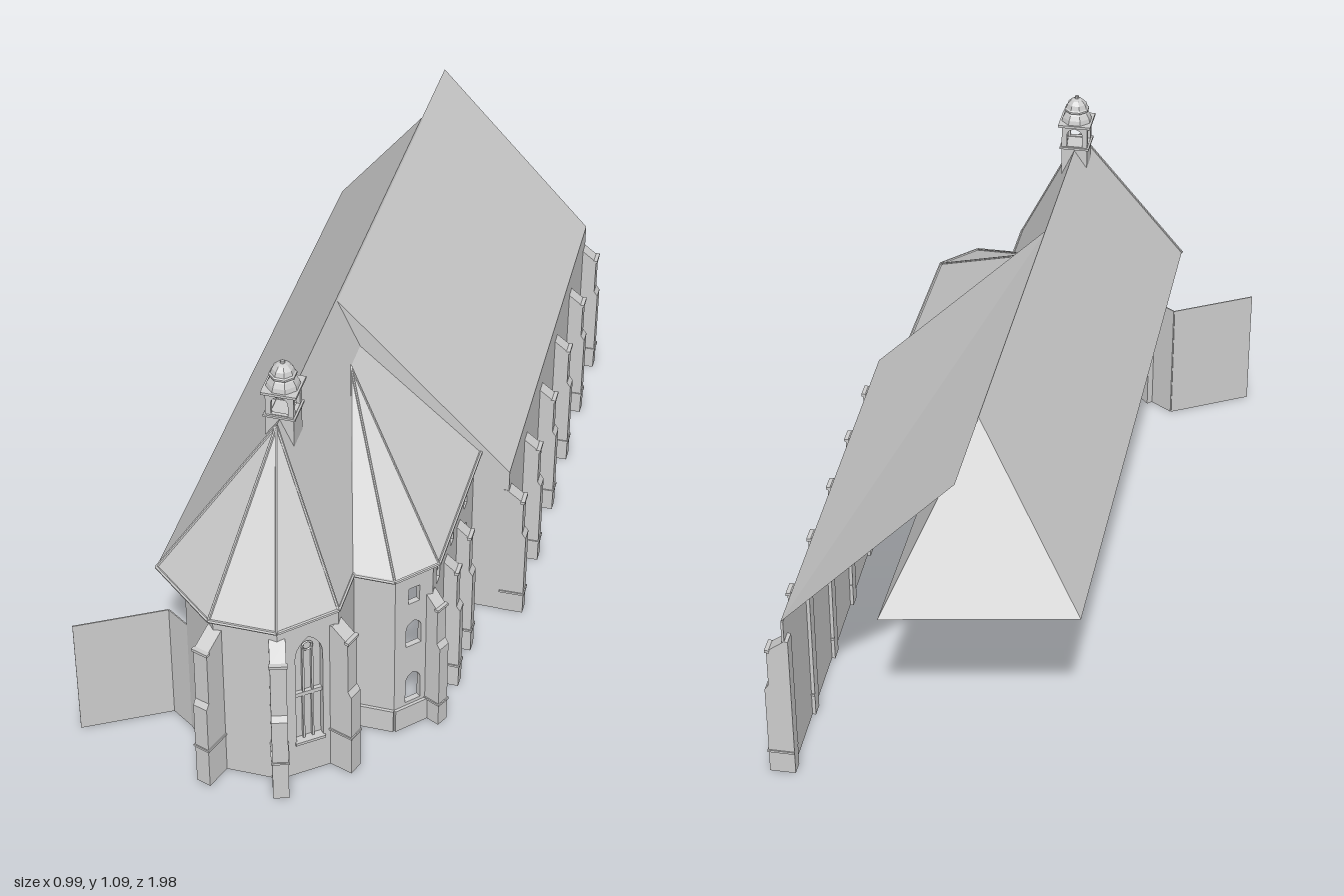
import * as THREE from 'three';

const grey = new THREE.MeshStandardMaterial({ color: 0xcccccc, flatShading: true, side: THREE.DoubleSide });
const V = (x, y, z) => new THREE.Vector3(x, y, z);

function add(parent, name, geometry) {
  const mesh = new THREE.Mesh(geometry, grey);
  mesh.name = name;
  parent.add(mesh);
  return mesh;
}

// Convex flat polygon as a triangle fan
function face(parent, name, ...points) {
  const tris = [];
  for (let i = 1; i < points.length - 1; i++) tris.push(points[0], points[i], points[i + 1]);
  const geometry = new THREE.BufferGeometry().setFromPoints(tris);
  geometry.computeVertexNormals();
  return add(parent, name, geometry);
}

// Thin round bar between two points, for ridges, hips and eaves
function bar(parent, name, a, b, r = 0.004) {
  const mesh = add(parent, name, new THREE.CylinderGeometry(r, r, a.distanceTo(b), 6));
  mesh.position.copy(a).lerp(b, 0.5);
  mesh.quaternion.setFromUnitVectors(V(0, 1, 0), b.clone().sub(a).normalize());
}

// Opening outline: pointed when spring is below top, otherwise square
function outline(u, w, bottom, top, spring = top, Type = THREE.Path) {
  const p = new Type();
  p.moveTo(u - w / 2, bottom);
  p.lineTo(u + w / 2, bottom);
  p.lineTo(u + w / 2, spring);
  if (spring < top) {
    p.quadraticCurveTo(u + w / 2, (spring + top) / 2 + 0.006, u, top);
    p.quadraticCurveTo(u - w / 2, (spring + top) / 2 + 0.006, u - w / 2, spring);
  } else p.lineTo(u - w / 2, top);
  p.closePath();
  return p;
}

// Upright wall from a to b ([x, z]); its outside faces local +z
function wall(parent, name, a, b, height, holes = [], thick = 0.015) {
  const g = new THREE.Group();
  g.name = name;
  g.position.set(a[0], 0, a[1]);
  g.rotation.y = Math.atan2(a[1] - b[1], b[0] - a[0]);
  const len = Math.hypot(b[0] - a[0], b[1] - a[1]);
  const shape = new THREE.Shape([[0, 0], [len, 0], [len, height], [0, height]].map(p => new THREE.Vector2(...p)));
  shape.holes = holes.map(h => outline(...h));
  add(g, name, new THREE.ExtrudeGeometry(shape, { depth: thick, bevelEnabled: false, curveSegments: 5 })).position.z = -thick;
  parent.add(g);
  g.userData.length = len;
  return g;
}

function box(parent, name, w, h, d, x, y, z) {
  add(parent, name, new THREE.BoxGeometry(w, h, d)).position.set(x, y, z);
}

// Stepped buttress with sloping top, standing out along (dx, dz)
function buttress(parent, x, z, dx, dz, depth, top, width, band) {
  const g = new THREE.Group();
  g.name = 'buttress';
  g.position.set(x, 0, z);
  g.rotation.y = Math.atan2(-dz, dx);
  const d = depth, s = depth - 0.01;
  const shape = new THREE.Shape([[-0.015, 0], [d, 0], [d, 0.26], [s, 0.275], [s, top - 0.035], [-0.005, top], [-0.015, top]]
    .map(p => new THREE.Vector2(...p)));
  add(g, 'buttressShaft', new THREE.ExtrudeGeometry(shape, { depth: width, bevelEnabled: false })).position.z = -width / 2;
  box(g, 'buttressBand', d + 0.018, 0.006, width + 0.006, d / 2 - 0.006, band, 0);
  box(g, 'buttressCap', 0.012, 0.008, width + 0.006, s - 0.002, top - 0.034, 0);
  parent.add(g);
}

export function createModel() {
  const model = new THREE.Group();
  model.name = 'church';
  const eave = 0.525;

  // Choir roof: two long slopes, rear hip, faceted front end
  const apex = V(-0.02, 0.938, 0.69), back = V(-0.02, 0.938, -0.71);
  const rim = [[-0.3, 0.8], [-0.12, 0.952], [0.05, 0.952], [0.17, 0.835]].map(([x, z]) => V(x, eave, z));
  const backRight = V(-0.3, eave, -0.9), backLeft = V(0.17, eave, -0.99);
  face(model, 'choirRoofRight', apex, back, backRight, rim[0]);
  face(model, 'choirRoofLeft', apex, rim[3], backLeft, back);
  face(model, 'choirRoofHip', back, backLeft, backRight);
  rim.forEach((p, i) => {
    bar(model, 'choirHipRoll', apex, p);
    if (i === 3) return;
    face(model, 'apseRoof', apex, p, rim[i + 1]);
    bar(model, 'apseEave', p, rim[i + 1], 0.005);
  });
  bar(model, 'choirEave', rim[3], V(0.17, eave, 0.7), 0.005);

  // Apse walls and the low wing wall
  const apse = [[-0.23, 0.8], [-0.12, 0.92], [0.04, 0.92], [0.165, 0.82], [0.165, 0.68]];
  for (let i = 0; i < 4; i++) {
    const hasWindow = i === 2, u = 0.082;
    const g = wall(model, 'apseWall', apse[i], apse[i + 1], eave - 0.005, hasWindow ? [[u, 0.072, 0.11, 0.455, 0.39]] : [], 0.02);
    if (!hasWindow) continue;
    const pane = new THREE.ShapeGeometry(outline(u, 0.072, 0.11, 0.455, 0.39, THREE.Shape));
    add(g, 'apseWindowPane', pane).position.z = -0.018;
    for (const k of [-0.012, 0.012]) box(g, 'mullion', 0.005, 0.3, 0.008, u + k, 0.26, -0.012);
    box(g, 'transom', 0.072, 0.012, 0.01, u, 0.262, -0.012);
    add(g, 'tracery', new THREE.TorusGeometry(0.013, 0.003, 4, 12)).position.set(u, 0.415, -0.012);
    box(g, 'sill', 0.08, 0.008, 0.014, u, 0.108, 0);
  }
  wall(model, 'wingWall', [-0.5, 0.88], [-0.29, 0.76], 0.35, [], 0.003);
  wall(model, 'wingWall', [-0.29, 0.76], [-0.23, 0.8], 0.35, [], 0.003);
  for (const [x, z, dx, dz] of [[-0.12, 0.92, -0.32, 0.95], [0.04, 0.92, 0.32, 0.95], [0.165, 0.82, 0.95, 0.32]])
    buttress(model, x, z, dx, dz, 0.065 - (dx > 0.9 ? 0.015 : 0), 0.47, 0.04, 0.122);

  // Side chapel roof, leaning against the choir slope
  const peak = V(0.04, 0.805, 0.25), peakBack = V(0.04, 0.805, 0.165);
  const edge = [[0.165, 0.705], [0.275, 0.705], [0.362, 0.61], [0.362, 0.165]].map(([x, z]) => V(x, eave, z));
  face(model, 'chapelRoof', peak, edge[0], edge[1]);
  face(model, 'chapelRoof', peak, edge[1], edge[2]);
  face(model, 'chapelRoof', peak, edge[2], edge[3], peakBack);
  for (let i = 0; i < 3; i++) {
    bar(model, 'chapelHipRoll', peak, edge[i], 0.003);
    bar(model, 'chapelEave', edge[i], edge[i + 1], 0.005);
  }

  // Chapel walls with three storeys of openings
  const chapel = [[0.165, 0.68], [0.27, 0.68], [0.345, 0.6], [0.345, 0.165]];
  const columns = [[], [0.055], [0.055, 0.2, 0.35]];
  columns.forEach((us, i) => {
    const holes = us.flatMap(u => [[u, 0.044, 0.08, 0.178, 0.145], [u, 0.044, 0.27, 0.352, 0.325], [u, 0.032, 0.412, 0.462]]);
    const g = wall(model, 'chapelWall', chapel[i], chapel[i + 1], eave - 0.005, holes);
    const len = g.userData.length;
    box(g, 'chapelPlinth', len, 0.07, 0.01, len / 2, 0.035, 0.003);
    if (i === 2) {
      box(g, 'blindWindowBack', 0.06, 0.42, 0.003, 0.055, 0.27, -0.016);
      box(g, 'mullion', 0.005, 0.05, 0.006, 0.055, 0.437, -0.008);
      box(g, 'transom', 0.032, 0.005, 0.006, 0.055, 0.437, -0.008);
    }
  });
  buttress(model, 0.345, 0.6, 0.9, 0.43, 0.04, 0.42, 0.034, 0.07);
  for (const z of [0.465, 0.327]) buttress(model, 0.345, z, 1, 0, 0.045, 0.42, 0.034, 0.07);

  // Nave: single slope, side wall and partial front gable
  const top = 0.935, naveEave = 0.475, zf = 0.165, zb = -0.98;
  face(model, 'naveRoof', V(-0.02, top, zf), V(0.44, naveEave, zf), V(0.41, naveEave, zb), V(-0.02, top, zb));
  const nave = wall(model, 'naveWall', [0.44, zf], [0.41, zb], naveEave, [], 0.006);
  box(nave, 'navePlinth', nave.userData.length, 0.065, 0.008, nave.userData.length / 2, 0.0325, 0.003);
  face(model, 'naveFrontGable', V(0.04, 0.805, zf), V(0.345, eave, zf), V(0.44, naveEave, zf), V(-0.02, top, zf));
  face(model, 'naveFrontWall', V(0.345, 0, zf), V(0.44, 0, zf), V(0.44, naveEave, zf), V(0.345, eave, zf));
  for (const z of [0.148, -0.07, -0.29, -0.515, -0.74, -0.963])
    buttress(model, 0.44 - 0.03 * (zf - z) / (zf - zb), z, 1, -0.02, 0.05, 0.415, 0.036, 0.065);

  // Ridge turret: shaft, four arched sides, cornices, bell-shaped cap
  const turret = new THREE.Group();
  turret.name = 'ridgeTurret';
  turret.position.set(-0.02, 0, 0.63);
  model.add(turret);
  box(turret, 'turretShaft', 0.07, 0.085, 0.07, 0, 0.9, 0);
  for (let i = 0; i < 4; i++) {
    const side = new THREE.Group();
    side.name = 'turretSide';
    side.rotation.y = i * Math.PI / 2;
    const s = new THREE.Shape([[-0.035, 0.94], [0.035, 0.94], [0.035, 1.015], [-0.035, 1.015]].map(p => new THREE.Vector2(...p)));
    s.holes.push(outline(0, 0.042, 0.95, 1.003, 0.982));
    add(side, 'turretArch', new THREE.ExtrudeGeometry(s, { depth: 0.01, bevelEnabled: false, curveSegments: 5 })).position.z = 0.025;
    turret.add(side);
  }
  box(turret, 'turretLedge', 0.08, 0.006, 0.08, 0, 0.945, 0);
  box(turret, 'turretCornice', 0.088, 0.007, 0.088, 0, 1.013, 0);
  const cap = [[0.042, 1.016], [0.039, 1.028], [0.032, 1.04], [0.026, 1.046], [0.034, 1.047], [0.034, 1.052],
    [0.03, 1.055], [0.026, 1.067], [0.016, 1.077], [0.006, 1.081], [0.005, 1.088], [0, 1.09]];
  add(turret, 'turretCap', new THREE.LatheGeometry(cap.map(p => new THREE.Vector2(...p)), 8, Math.PI / 8));

  return model;
}
